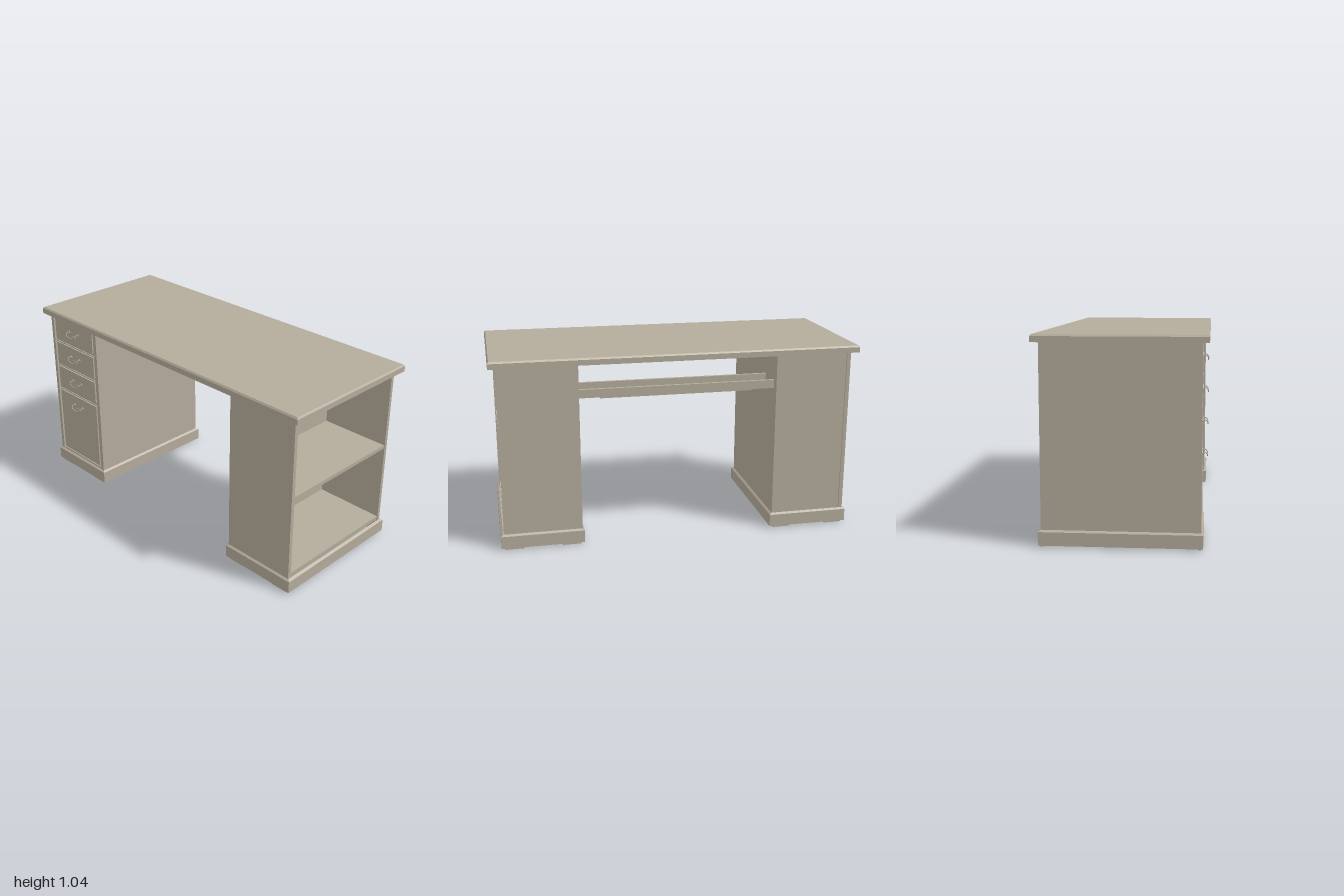
import * as THREE from 'three';

const painted = new THREE.MeshStandardMaterial({ color: 0xb4ac9b });
painted.name = 'warm grey paint';
const rawBoard = new THREE.MeshStandardMaterial({ color: 0x9a8068 });
rawBoard.name = 'brown board';

// Box given by its limits on each axis
function slab(parent, name, x0, x1, y0, y1, z0, z1, material = painted) {
  const mesh = new THREE.Mesh(new THREE.BoxGeometry(x1 - x0, y1 - y0, z1 - z0), material);
  mesh.position.set((x0 + x1) / 2, (y0 + y1) / 2, (z0 + z1) / 2);
  mesh.name = name;
  parent.add(mesh);
  return mesh;
}

// Box whose upper face is pulled in on all four sides
function taperedSlab(parent, name, x0, x1, y0, y1, z0, z1, inset) {
  const mesh = slab(parent, name, x0, x1, y0, y1, z0, z1);
  const flat = mesh.geometry.toNonIndexed();
  const p = flat.attributes.position;
  for (let i = 0; i < p.count; i++) {
    if (p.getY(i) > 0) {
      p.setX(i, p.getX(i) - Math.sign(p.getX(i)) * inset);
      p.setZ(i, p.getZ(i) - Math.sign(p.getZ(i)) * inset);
    }
  }
  flat.computeVertexNormals();
  mesh.geometry = flat;
}

// Hollow plinth: mitred frame, thin feet
function addPlinth(parent, x0, x1) {
  const plinth = new THREE.Group();
  plinth.name = 'plinth';
  const depth = 0.403, t = 0.022;
  const shape = new THREE.Shape([
    new THREE.Vector2(x0, -depth), new THREE.Vector2(x1, -depth),
    new THREE.Vector2(x1, depth), new THREE.Vector2(x0, depth)]);
  shape.holes.push(new THREE.Path([
    new THREE.Vector2(x0 + t, -depth + t), new THREE.Vector2(x0 + t, depth - t),
    new THREE.Vector2(x1 - t, depth - t), new THREE.Vector2(x1 - t, -depth + t)]));
  const geometry = new THREE.ExtrudeGeometry(shape, { depth: 0.068, bevelEnabled: false });
  geometry.rotateX(-Math.PI / 2);
  const frame = new THREE.Mesh(geometry, painted);
  frame.position.y = 0.01;
  frame.name = 'plinthFrame';
  plinth.add(frame);
  // Sloped trim on the top edge of the frame
  const trim = [[x0, -depth], [x1, -depth], [x1, depth], [x0, depth]];
  const points = [];
  const cx = (x0 + x1) / 2;
  const at = ([x, z], inset, y) => [x - Math.sign(x - cx) * inset, y, z - Math.sign(z) * inset];
  for (let i = 0; i < 4; i++) {
    const a = trim[i], b = trim[(i + 1) % 4];
    const a0 = at(a, 0, 0.078), b0 = at(b, 0, 0.078), a1 = at(a, 0.012, 0.087), b1 = at(b, 0.012, 0.087);
    points.push(...a0, ...a1, ...b1, ...a0, ...b1, ...b0);
  }
  const trimGeometry = new THREE.BufferGeometry();
  trimGeometry.setAttribute('position', new THREE.Float32BufferAttribute(points, 3));
  trimGeometry.computeVertexNormals();
  const trimMesh = new THREE.Mesh(trimGeometry, painted);
  trimMesh.name = 'plinthTrim';
  plinth.add(trimMesh);
  for (const z of [-0.387, 0.387]) {
    for (const x of [x0 + 0.07, x1 - 0.07]) {
      slab(plinth, 'foot', x - 0.05, x + 0.05, 0, 0.011, z - 0.009, z + 0.009);
    }
  }
  parent.add(plinth);
}

// Bail pull with two rosettes and a thin back plate
function addHandle(parent, x, y, z) {
  const handle = new THREE.Group();
  handle.name = 'handle';
  const curve = new THREE.CatmullRomCurve3([
    [-0.04, 0.005, 0], [-0.04, 0.008, 0.016], [-0.036, -0.004, 0.026],
    [-0.02, -0.014, 0.026], [0.02, -0.014, 0.026], [0.036, -0.004, 0.026],
    [0.04, 0.008, 0.016], [0.04, 0.005, 0]].map(p => new THREE.Vector3(...p)));
  const bail = new THREE.Mesh(new THREE.TubeGeometry(curve, 32, 0.0025, 6), painted);
  bail.name = 'bail';
  handle.add(bail);
  for (const side of [-1, 1]) {
    const rosette = new THREE.Mesh(new THREE.CylinderGeometry(0.009, 0.011, 0.004, 16), painted);
    rosette.rotation.x = Math.PI / 2;
    rosette.position.set(side * 0.04, 0.005, 0.002);
    rosette.name = 'rosette';
    handle.add(rosette);
  }
  slab(handle, 'backPlate', -0.022, 0.022, -0.022, -0.012, 0, 0.003);
  handle.position.set(x, y, z);
  parent.add(handle);
}

function addDrawer(parent, y0, y1, handleY) {
  const drawer = new THREE.Group();
  drawer.name = 'drawer';
  const x0 = -0.936, x1 = -0.572;
  slab(drawer, 'drawerFront', x0, x1, y0, y1, 0.365, 0.384);
  slab(drawer, 'drawerFace', x0 + 0.007, x1 - 0.007, y0 + 0.007, y1 - 0.007, 0.383, 0.392);
  // Box behind the front
  const top = y1 - 0.03;
  for (const x of [x0 + 0.006, x1 - 0.018]) slab(drawer, 'drawerSide', x, x + 0.012, y0 + 0.01, top, -0.34, 0.366);
  slab(drawer, 'drawerBack', x0 + 0.018, x1 - 0.018, y0 + 0.01, top, -0.34, -0.328);
  slab(drawer, 'drawerBottom', x0 + 0.018, x1 - 0.018, y0 + 0.012, y0 + 0.02, -0.328, 0.366, rawBoard);
  addHandle(drawer, (x0 + x1) / 2, handleY, 0.392);
  parent.add(drawer);
}

function drawerPedestal() {
  const g = new THREE.Group();
  g.name = 'drawerPedestal';
  addPlinth(g, -0.978, -0.528);
  slab(g, 'outerSide', -0.965, -0.944, 0.078, 1.006, -0.39, 0.393);
  slab(g, 'innerSide', -0.563, -0.542, 0.078, 1.006, -0.39, 0.393);
  slab(g, 'backPanel', -0.944, -0.563, 0.078, 1.006, -0.383, -0.371);
  slab(g, 'frontStretcher', -0.944, -0.563, 0.078, 0.094, 0.29, 0.388);
  for (const y of [0.521, 0.682, 0.842]) slab(g, 'drawerDivider', -0.944, -0.563, y, y + 0.012, 0.34, 0.382);
  addDrawer(g, 0.098, 0.518, 0.445);
  addDrawer(g, 0.531, 0.679, 0.606);
  addDrawer(g, 0.692, 0.839, 0.766);
  addDrawer(g, 0.852, 1.0, 0.926);
  return g;
}

function shelfPedestal() {
  const g = new THREE.Group();
  g.name = 'shelfPedestal';
  addPlinth(g, 0.528, 0.978);
  slab(g, 'frontPanel', 0.537, 0.962, 0.078, 1.006, 0.371, 0.392);
  slab(g, 'backPanel', 0.537, 0.962, 0.078, 1.006, -0.39, -0.371);
  slab(g, 'innerSide', 0.542, 0.56, 0.078, 1.006, -0.371, 0.371);
  slab(g, 'topRail', 0.945, 0.96, 0.985, 1.006, -0.371, 0.371);
  slab(g, 'middleShelf', 0.56, 0.958, 0.547, 0.568, -0.37, 0.37);
  slab(g, 'bottomShelf', 0.56, 0.958, 0.086, 0.108, -0.371, 0.371);
  // Small cap on the inner wall and shelf pegs
  const cap = new THREE.Mesh(new THREE.CylinderGeometry(0.007, 0.007, 0.008, 12), painted);
  cap.rotation.z = Math.PI / 2;
  cap.position.set(0.563, 0.961, 0.003);
  cap.name = 'boltCap';
  g.add(cap);
  for (const z of [-0.367, 0.367]) {
    for (const x of [0.63, 0.89]) slab(g, 'shelfPeg', x - 0.005, x + 0.005, 0.54, 0.548, z - 0.006, z + 0.006);
  }
  return g;
}

export function createModel() {
  const desk = new THREE.Group();
  desk.name = 'desk';

  // Desktop with a stepped, chamfered edge
  const top = new THREE.Group();
  top.name = 'desktop';
  slab(top, 'desktopBoard', -1, 1, 1.005, 1.034, -0.425, 0.425);
  taperedSlab(top, 'desktopUpperEdge', -1, 1, 1.034, 1.043, -0.425, 0.425, 0.007);
  desk.add(top);

  desk.add(drawerPedestal(), shelfPedestal());

  // Cable tray hung between the pedestals
  const tray = new THREE.Group();
  tray.name = 'cableTray';
  slab(tray, 'rearRail', -0.542, 0.542, 0.81, 0.856, -0.35, -0.332);
  slab(tray, 'innerRail', -0.542, 0.542, 0.81, 0.856, -0.2, -0.182);
  slab(tray, 'trayPlate', -0.42, 0.42, 0.803, 0.814, -0.345, -0.187);
  desk.add(tray);

  return desk;
}
